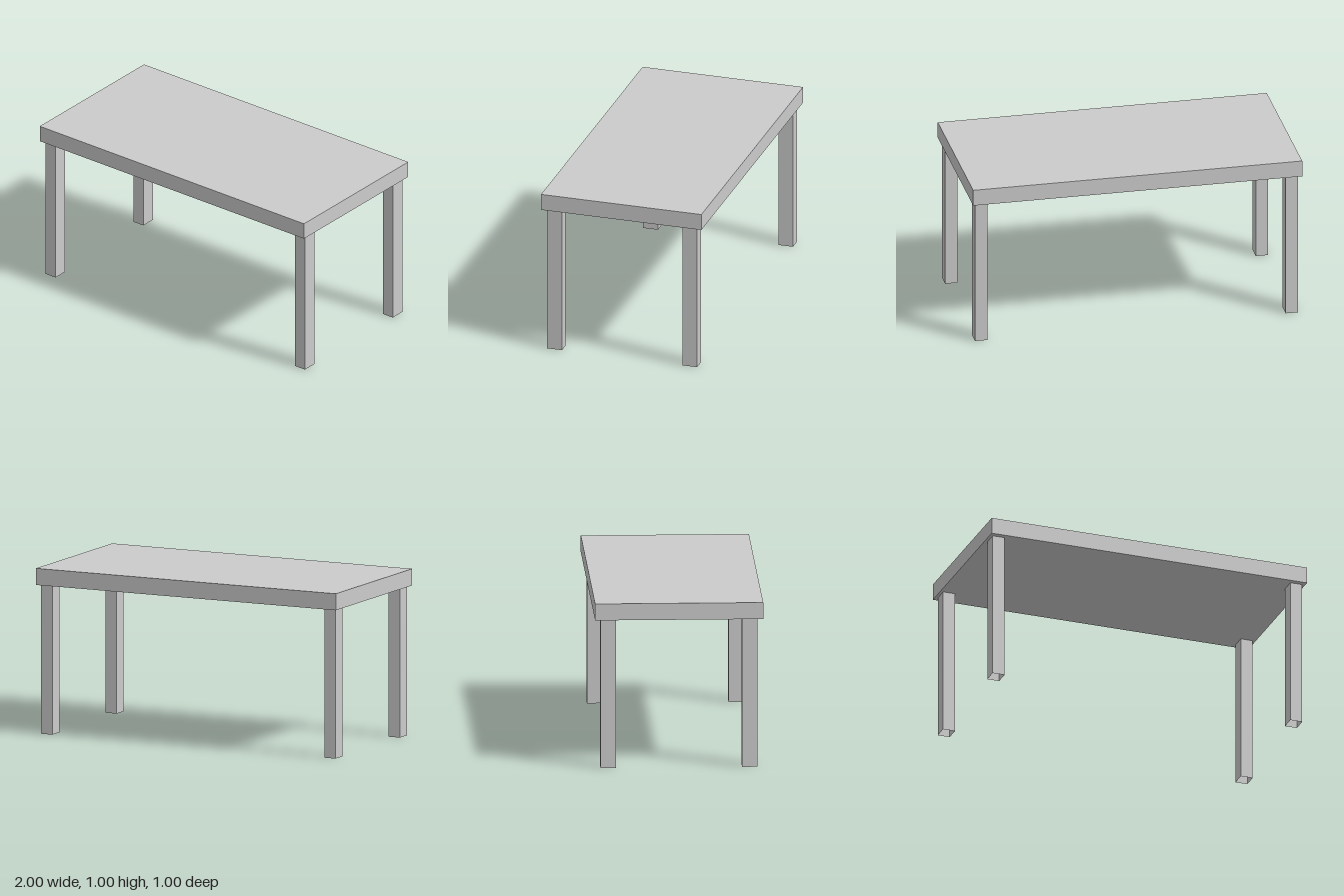
import * as THREE from 'three';

const TOP_THICKNESS = 0.1;
const LEG = { width: 0.075, depth: 0.092, height: 0.9, x: 0.944, z: 0.421 };

// Four-walled rectangular tube, open at both ends
function squareTube(width, height, depth) {
  const tube = new THREE.CylinderGeometry(Math.SQRT1_2, Math.SQRT1_2, 1, 4, 1, true);
  tube.rotateY(Math.PI / 4).scale(width, height, depth);
  const flat = tube.toNonIndexed();
  flat.computeVertexNormals();
  return flat;
}

export function createModel() {
  const table = new THREE.Group();
  table.name = 'table';

  // Tabletop slab
  const top = new THREE.Mesh(
    new THREE.BoxGeometry(2, TOP_THICKNESS, 1),
    new THREE.MeshStandardMaterial({ color: 0xcccccc })
  );
  top.name = 'tabletop';
  top.position.y = LEG.height + TOP_THICKNESS / 2;
  table.add(top);

  // Four legs, hollow and open underneath
  const legGeometry = squareTube(LEG.width, LEG.height, LEG.depth);
  const legMaterial = new THREE.MeshStandardMaterial({
    color: 0xcccccc, flatShading: true, side: THREE.DoubleSide
  });
  for (const [endName, sz] of [['front', 1], ['back', -1]]) {
    for (const [sideName, sx] of [['Left', 1], ['Right', -1]]) {
      const leg = new THREE.Mesh(legGeometry, legMaterial);
      leg.name = `${endName}${sideName}Leg`;
      leg.position.set(sx * LEG.x, LEG.height / 2, sz * LEG.z);
      table.add(leg);
    }
  }
  return table;
}
